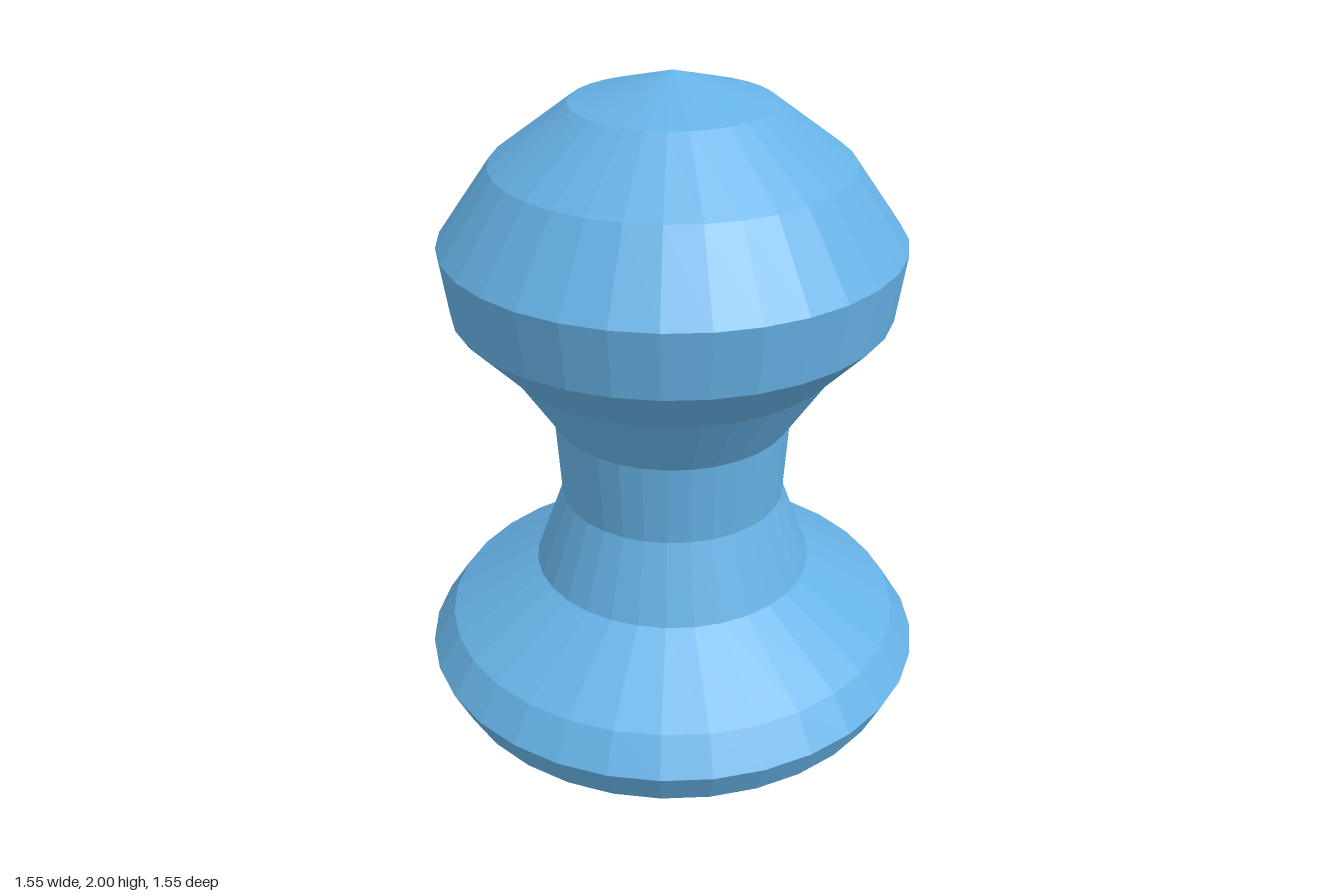
import * as THREE from 'three';

const SIDES = 32;

// Outlines as [radius, height], bottom to top; neighbouring parts share a ring
const parts = {
  base: [[0, 0], [0.6, 0], [0.72, 0.065], [0.775, 0.18], [0.705, 0.285], [0.43, 0.455]],
  neck: [[0.43, 0.455], [0.343, 0.695], [0.36, 0.95]],
  head: [[0.36, 0.95], [0.497, 1.16], [0.647, 1.32], [0.675, 1.52], [0.518, 1.745], [0.292, 1.915], [0, 2]],
};

export function createModel() {
  const group = new THREE.Group();
  group.name = 'pawn';
  const material = new THREE.MeshStandardMaterial({ color: 0x66b2e6, flatShading: true });

  // Turn each outline around the y axis
  for (const [name, outline] of Object.entries(parts)) {
    const points = outline.map(([r, y]) => new THREE.Vector2(r, y));
    const mesh = new THREE.Mesh(new THREE.LatheGeometry(points, SIDES), material);
    mesh.name = name;
    group.add(mesh);
  }
  return group;
}
